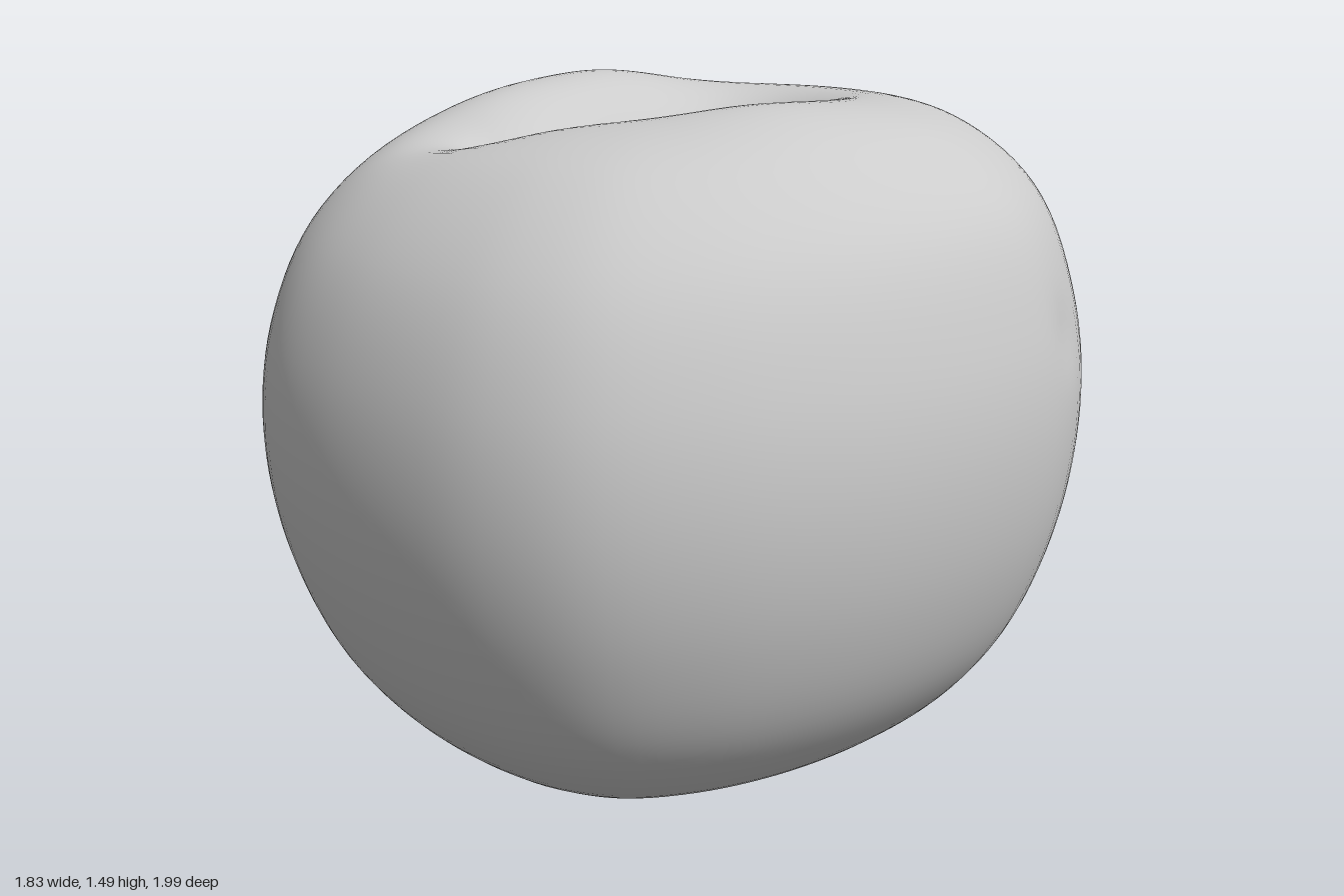
import * as THREE from 'three';
import { mergeVertices } from 'three/addons/utils/BufferGeometryUtils.js';

// widest outline seen from above, as x, z, running front -> +x -> back -> -x
const OUTLINE = [
  [0, 0.985], [0.19, 0.99], [0.37, 0.94], [0.55, 0.8], [0.7, 0.61], [0.81, 0.4], [0.88, 0.19],
  [0.912, 0], [0.89, -0.19], [0.825, -0.39], [0.7, -0.62], [0.5, -0.82], [0.28, -0.95], [0.07, -1],
  [-0.18, -0.965], [-0.44, -0.83], [-0.65, -0.67], [-0.81, -0.45], [-0.89, -0.23], [-0.915, 0],
  [-0.855, 0.33], [-0.72, 0.6], [-0.52, 0.8], [-0.28, 0.92],
];

// rows from bottom pit to top pit: share of the outline, then height at front, +x, back, -x
const ROWS = [
  [0, 0.26, 0.26, 0.26, 0.26],
  [0.1, 0.2, 0.2, 0.2, 0.2],
  [0.21, 0.1, 0.08, 0.07, 0.1],
  [0.33, 0.045, 0.02, 0.005, 0.05],
  [0.48, 0.03, 0.025, 0.035, 0.055],
  [0.66, 0.08, 0.1, 0.13, 0.15],
  [0.85, 0.25, 0.29, 0.33, 0.34],
  [0.96, 0.49, 0.53, 0.59, 0.55],
  [1, 0.74, 0.8, 0.87, 0.79],
  [0.97, 0.98, 1.03, 1.1, 1],
  [0.87, 1.19, 1.26, 1.28, 1.21],
  [0.68, 1.36, 1.405, 1.41, 1.38],
  [0.47, 1.43, 1.46, 1.45, 1.47],
  [0.3, 1.43, 1.45, 1.4, 1.46],
  [0.18, 1.365, 1.38, 1.33, 1.39],
  [0.08, 1.26, 1.28, 1.25, 1.28],
  [0, 1.19, 1.19, 1.19, 1.19],
];

const bell = (d, width) => Math.exp(-(d * d) / (width * width));

// height of a row at an angle, blended between the two nearest of the four directions
function rowHeight(row, angle) {
  const q = ((angle / (Math.PI / 2)) % 4 + 4) % 4;
  const k = Math.floor(q) % 4;
  const w = Math.sin((q - Math.floor(q)) * Math.PI / 2) ** 2;
  return row[1 + k] * (1 - w) + row[1 + (k + 1) % 4] * w;
}

// furrow running from the stem pit towards the front left rim
const furrow = new THREE.Line3(new THREE.Vector3(0.02, 0, -0.04), new THREE.Vector3(-0.25, 0, 0.34));
const flat = new THREE.Vector3(), near = new THREE.Vector3();
const dentCentre = new THREE.Vector3(0.9, 1, -0.1);

function sculpt(p) {
  if (p.y > 1.1) {
    flat.set(p.x, 0, p.z);
    furrow.closestPointToPoint(flat, true, near);
    const d = flat.distanceTo(near);
    p.y -= 0.08 * bell(d, 0.18) + 0.035 * bell(d, 0.06);
    // higher shoulders at the back left and front right
    p.y += 0.025 * bell(Math.hypot(p.x + 0.36, p.z + 0.25), 0.2);
    p.y += 0.015 * bell(Math.hypot(p.x - 0.32, p.z - 0.25), 0.2);
  }
  // small dent on the side
  p.x -= 0.01 * bell(p.distanceTo(dentCentre), 0.07);
  return p;
}

function fruitGeometry(around = 128, up = 112) {
  const outline = new THREE.CatmullRomCurve3(
    OUTLINE.map(([x, z]) => new THREE.Vector3(x, 0, z)), true);
  const positions = [], index = [];
  for (let j = 0; j <= around; j++) {
    const rim = outline.getPointAt((j % around) / around);
    const angle = Math.atan2(rim.x, rim.z);
    const profile = new THREE.CatmullRomCurve3(ROWS.map((row) =>
      new THREE.Vector3(rim.x * row[0], rowHeight(row, angle), rim.z * row[0])));
    for (let i = 0; i <= up; i++) {
      const p = sculpt(profile.getPoint(i / up));
      positions.push(p.x, p.y, p.z);
      if (j < around && i < up) {
        const a = j * (up + 1) + i, b = a + up + 1;
        // the poles need only one triangle per step
        if (i > 0) index.push(a, b, a + 1);
        if (i < up - 1) index.push(b, b + 1, a + 1);
      }
    }
  }
  let geometry = new THREE.BufferGeometry();
  geometry.setAttribute('position', new THREE.Float32BufferAttribute(positions, 3));
  geometry.setIndex(index);
  geometry = mergeVertices(geometry, 1e-5);
  geometry.computeVertexNormals();
  return geometry;
}

export function createModel() {
  const group = new THREE.Group();
  group.name = 'fruit';
  const body = new THREE.Mesh(fruitGeometry(), new THREE.MeshStandardMaterial({ color: 0xcccccc }));
  body.name = 'fruitBody';
  group.add(body);
  return group;
}
